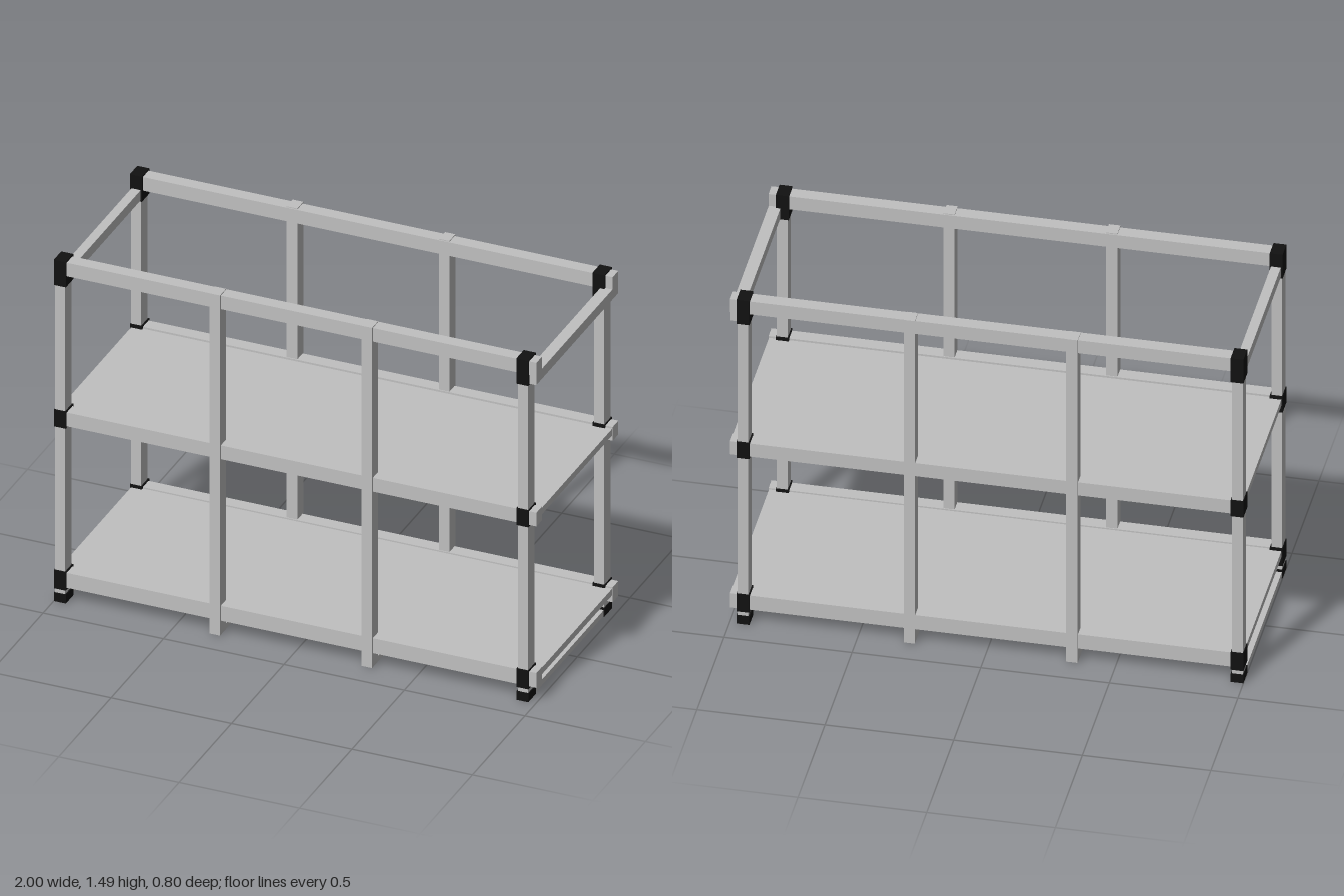
import * as THREE from 'three';

export function createModel() {
  const model = new THREE.Group();
  model.name = 'shelfRack';
  const metal = new THREE.MeshStandardMaterial({ color: 0xc0c0c0 });
  metal.name = 'grey metal';
  const plastic = new THREE.MeshStandardMaterial({ color: 0x111111 });
  plastic.name = 'black plastic';

  // Box given by its extents on each axis
  function bar(name, material, [x0, x1], [y0, y1], [z0, z1]) {
    const mesh = new THREE.Mesh(new THREE.BoxGeometry(x1 - x0, y1 - y0, z1 - z0), material);
    mesh.position.set((x0 + x1) / 2, (y0 + y1) / 2, (z0 + z1) / 2);
    mesh.name = name;
    model.add(mesh);
  }
  // Extent on the front (+1) or back (-1) side
  const side = (s, near, far) => (s > 0 ? [near, far] : [-far, -near]);

  const railHeights = [[0.065, 0.13], [0.77, 0.83], [1.425, 1.484]];
  const jointHeights = [[0.056, 0.136], [0.763, 0.836], [1.38, 1.49]];
  const cornerPosts = [[-0.997, -0.955], [0.925, 0.967]];
  const cornerJoints = [[-1, -0.95], [0.92, 0.97]];
  const middlePosts = [[-0.355, -0.31], [0.278, 0.321]];

  for (const s of [1, -1]) {
    // Long rails run past the joints at the +x end
    railHeights.forEach(y => bar('longRail', metal, [-0.99, 1], y, side(s, 0.336, 0.39)));

    // Corner posts with joints and feet
    cornerPosts.forEach((x, i) => {
      bar('cornerPost', metal, x, [0.01, 1.48], side(s, 0.332, 0.393));
      jointHeights.forEach(y => bar('joint', plastic, cornerJoints[i], y, side(s, 0.327, 0.398)));
      bar('foot', plastic, cornerJoints[i], [0, 0.037], side(s, 0.327, 0.398));
    });

    // Middle posts stand slightly proud of the rails
    middlePosts.forEach(x => bar('middlePost', metal, x, [0.003, 1.488], side(s, 0.34, 0.397)));
  }

  // Shelves
  bar('lowerShelf', metal, [-0.995, 0.998], [0.095, 0.124], [-0.338, 0.338]);
  bar('middleShelf', metal, [-0.995, 0.998], [0.793, 0.822], [-0.338, 0.338]);

  // Top end rails
  bar('endRail', metal, [-0.993, -0.955], [1.386, 1.43], [-0.34, 0.34]);
  bar('endRail', metal, [0.952, 0.999], [1.386, 1.43], [-0.389, 0.389]);

  // Floor cross rails under each pair of posts
  for (const x of [...cornerPosts, ...middlePosts]) {
    bar('floorRail', metal, x, [0.004, 0.028], [-0.36, 0.36]);
  }
  return model;
}
